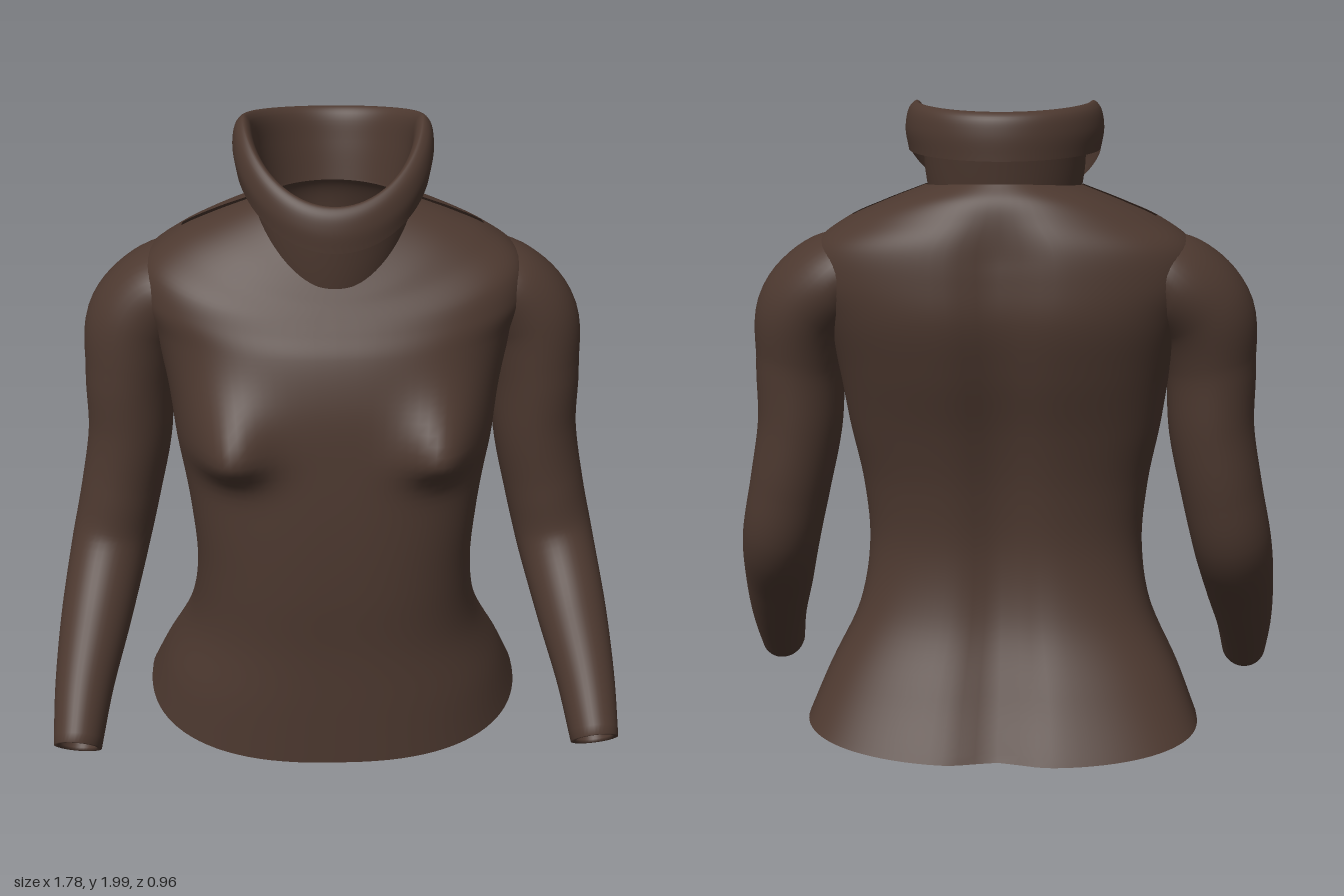
import * as THREE from 'three';

const SEG = 96;

// Skin a stack of closed rings (arrays of Vector3); skip(i, j) leaves a quad open
function loft(rings, skip = () => false) {
  const n = rings[0].length, pos = [], idx = [];
  rings.forEach(r => r.forEach(p => pos.push(p.x, p.y, p.z)));
  for (let i = 0; i < rings.length - 1; i++) {
    for (let j = 0; j < n; j++) {
      if (skip(i, j)) continue;
      const k = (j + 1) % n;
      const a = i * n + j, b = i * n + k, c = a + n, d = b + n;
      idx.push(a, b, d, a, d, c);
    }
  }
  const g = new THREE.BufferGeometry();
  g.setAttribute('position', new THREE.Float32BufferAttribute(pos, 3));
  g.setIndex(idx);
  g.computeVertexNormals();
  return g;
}

// Ring from half width, side y, side z, front z, front y, back z, back y
function ring([w, sy, sz, fz, fy, bz, by], power, tilt) {
  return Array.from({ length: SEG }, (_, j) => {
    const a = (j / SEG) * Math.PI * 2;
    const s = Math.sin(a);
    const c = Math.abs(Math.cos(a)) < 1e-9 ? 0 : Math.cos(a);
    const cp = Math.abs(c) ** power, front = c > 0;
    return new THREE.Vector3(
      w * Math.sign(s) * Math.abs(s) ** power,
      sy + ((front ? fy : by) - sy) * Math.abs(c) ** tilt,
      sz + ((front ? fz : bz) - sz) * cp);
  });
}

// Smoothly fill in rows between key rings
function smoothRings(keys, rows) {
  const curves = keys[0].map((_, j) => new THREE.CatmullRomCurve3(keys.map(k => k[j])));
  return Array.from({ length: rows + 1 }, (_, i) => curves.map(c => c.getPoint(i / rows)));
}

function torsoGeometry() {
  const keys = [
    [0.62, 0.07, -0.15, 0.40, 0.015, -0.475, 0.025],
    [0.565, 0.2, -0.09, 0.40, 0.2, -0.37, 0.2],
    [0.47, 0.4, -0.01, 0.40, 0.4, -0.27, 0.4],
    [0.44, 0.6, 0.04, 0.41, 0.6, -0.23, 0.6],
    [0.455, 0.8, 0.04, 0.41, 0.8, -0.24, 0.8],
    [0.49, 1.0, 0.0, 0.40, 1.0, -0.28, 1.0],
    [0.52, 1.2, -0.03, 0.38, 1.2, -0.34, 1.2],
    [0.56, 1.36, -0.05, 0.335, 1.35, -0.375, 1.36],
    [0.6, 1.47, -0.05, 0.30, 1.41, -0.37, 1.48],
    [0.58, 1.57, -0.05, 0.275, 1.45, -0.355, 1.58],
    [0.48, 1.65, -0.05, 0.25, 1.49, -0.33, 1.66],
    [0.37, 1.7, -0.05, 0.235, 1.515, -0.3, 1.72],
    [0.24, 1.75, -0.04, 0.22, 1.54, -0.26, 1.765]
  ].map((k, i) => ring(k, i > 11 ? 1 : i > 9 ? 0.9 : 0.8, i ? 2 : 1.3));
  const rings = smoothRings(keys, 84);
  for (const p of rings.flat()) {
    if (p.z > 0) {
      // bust
      const dx = (Math.abs(p.x) - 0.33) / 0.12;
      const dy = (p.y - 1.06) / (p.y > 1.06 ? 0.15 : 0.08);
      p.z += 0.125 * Math.exp(-dx * dx - dy * dy);
    } else {
      // spine groove between two soft back lobes
      const fade = THREE.MathUtils.smoothstep(1.78 - p.y, 0, 0.25);
      p.z += 0.04 * fade * Math.exp(-((p.x / 0.1) ** 2));
    }
  }
  // open shoulder slits just behind each shoulder seam
  const q = SEG / 4;
  const skip = (i, j) => {
    const p = rings[i][j], x = Math.abs(p.x);
    const beside = j === q || j === q + 1 || j === 3 * q - 1 || j === 3 * q - 2;
    return beside && p.y > 1.6 && x > 0.25 && x < 0.47;
  };
  return loft(rings, skip);
}

function sleeveGeometry(side) {
  // x, y, z, lateral radius, depth radius, shoulder to wrist
  const keys = [
    [0.46, 1.475, -0.07, 0.14, 0.20],
    [0.53, 1.45, -0.07, 0.15, 0.205],
    [0.61, 1.36, -0.06, 0.158, 0.19],
    [0.64, 1.2, -0.045, 0.14, 0.168],
    [0.648, 1.0, -0.045, 0.133, 0.156],
    [0.685, 0.8, -0.04, 0.128, 0.145],
    [0.725, 0.62, -0.01, 0.125, 0.132],
    [0.768, 0.42, 0.15, 0.112, 0.112],
    [0.8, 0.25, 0.295, 0.092, 0.096],
    [0.815, 0.105, 0.425, 0.075, 0.085]
  ];
  const path = new THREE.CatmullRomCurve3(keys.map(k => new THREE.Vector3(k[0], k[1], k[2])));
  const radii = new THREE.CatmullRomCurve3(keys.map(k => new THREE.Vector3(k[3], k[4], 0)));
  const section = (t, inset = 0) => {
    const c = path.getPoint(t), T = path.getTangent(t), r = radii.getPoint(t);
    const L = new THREE.Vector3(1, 0, 0).addScaledVector(T, -T.x).normalize();
    const F = new THREE.Vector3().crossVectors(T, L);
    return Array.from({ length: 40 }, (_, j) => {
      const a = side * (j / 40) * Math.PI * 2;
      const p = c.clone()
        .addScaledVector(L, (r.x - inset) * Math.sin(a))
        .addScaledVector(F, (r.y - inset) * Math.cos(a));
      p.x *= side;
      return p;
    });
  };
  // inner lining, cuff edge, then the outer sleeve up to the shoulder
  const rings = [section(0.9, 0.015), section(0.995, 0.015), section(1, 0.013), section(1)];
  for (let i = 59; i >= 0; i--) rings.push(section(i / 60));
  return loft(rings);
}

export function createModel() {
  const model = new THREE.Group();
  const knit = new THREE.MeshStandardMaterial({ color: 0x4c382f, side: THREE.DoubleSide });
  knit.name = 'brown knit';
  const add = (name, geometry) => {
    const mesh = new THREE.Mesh(geometry, knit);
    mesh.name = name;
    model.add(mesh);
  };

  add('torso', torsoGeometry());
  add('leftSleeve', sleeveGeometry(1));
  add('rightSleeve', sleeveGeometry(-1));

  // neck band under the folded collar
  add('neckBand', loft([
    [0.235, 1.73, -0.02, 0.225, 1.535, -0.25, 1.75],
    [0.245, 1.8, -0.02, 0.236, 1.61, -0.262, 1.82],
    [0.25, 1.89, -0.02, 0.24, 1.71, -0.275, 1.9]
  ].map(k => ring(k, 1, 1.3))));

  // folded collar: outer flap, rounded rim, inner wall
  add('foldedCollar', loft(smoothRings([
    [0.292, 1.855, -0.02, 0.288, 1.66, -0.33, 1.835],
    [0.302, 1.92, -0.02, 0.288, 1.72, -0.33, 1.91],
    [0.29, 1.98, -0.02, 0.275, 1.77, -0.318, 1.96],
    [0.268, 2.0, -0.02, 0.255, 1.79, -0.295, 1.975],
    [0.248, 1.98, -0.02, 0.235, 1.775, -0.272, 1.955],
    [0.232, 1.89, -0.02, 0.215, 1.69, -0.25, 1.87],
    [0.216, 1.75, -0.02, 0.195, 1.56, -0.23, 1.76]
  ].map(k => ring(k, 1, 1.3)), 36)));

  return model;
}
